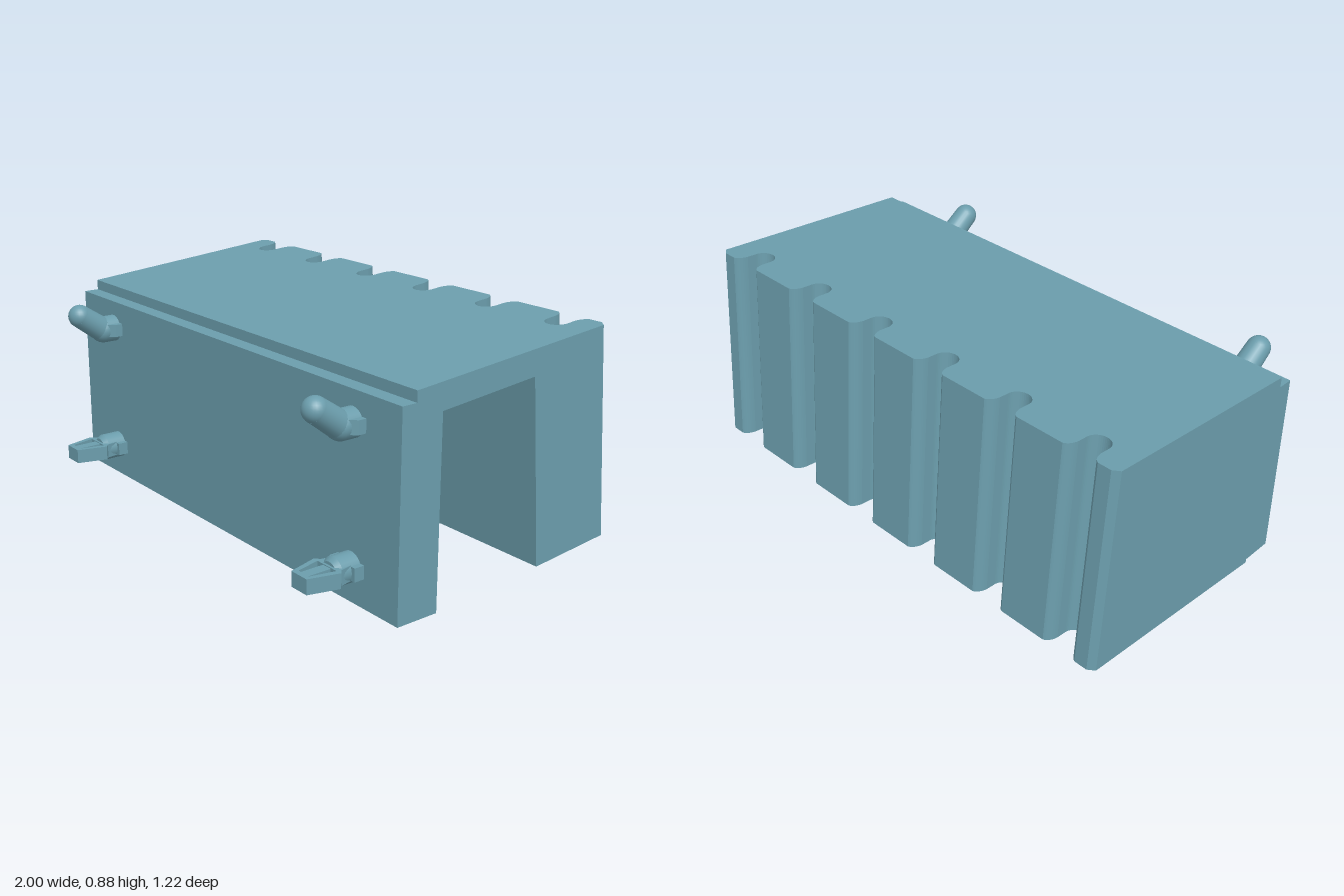
import * as THREE from 'three';

const material = new THREE.MeshStandardMaterial({ color: 0x6b9dac });
const TILT = THREE.MathUtils.degToRad(5);
// lower inner corner of the back slab (z, y) and slab size
const BZ = -0.25, BY = 0.047, SLAB_H = 0.8, SLAB_T = 0.36;

function mesh(name, geometry) {
  const m = new THREE.Mesh(geometry, material);
  m.name = name;
  return m;
}

// Extrude a side profile given as [z, y] points from x0 to x1
function sideExtrude(points, x0, x1) {
  const shape = new THREE.Shape(points.map(([z, y]) => new THREE.Vector2(-z, y)));
  return new THREE.ExtrudeGeometry(shape, { depth: x1 - x0, bevelEnabled: false })
    .rotateY(Math.PI / 2).translate(x0, 0, 0);
}

// Point on the inner plane of the tilted slab at height h along it
const onSlab = h => [BZ + h * Math.sin(TILT), BY + h * Math.cos(TILT)];

// Cylinder running along z
const rodZ = (r0, r1, z0, z1) => new THREE.CylinderGeometry(r1, r0, z1 - z0, 24)
  .rotateX(Math.PI / 2).translate(0, 0, (z0 + z1) / 2);

// Back slab: plan outline with rounded grooves, extruded along the tilt
function groovedSlab() {
  const s = new THREE.Shape();
  const T = SLAB_T, r = 0.045, mouth = 0.072, bottom = T - 0.085;
  s.moveTo(-1, 0);
  s.lineTo(1, 0);
  s.lineTo(1, T - 0.02);
  s.lineTo(0.975, T);
  for (let i = 0; i < 6; i++) {
    const x = 0.85 - i * 0.34;
    s.lineTo(x + mouth, T);
    s.quadraticCurveTo(x + r + 0.005, T - 0.01, x + r, T - 0.045);
    s.lineTo(x + r, bottom);
    s.absarc(x, bottom, r, 0, -Math.PI, true);
    s.lineTo(x - r, T - 0.045);
    s.quadraticCurveTo(x - r - 0.005, T - 0.01, x - mouth, T);
  }
  s.lineTo(-0.975, T);
  s.lineTo(-1, T - 0.02);
  s.closePath();
  const g = new THREE.ExtrudeGeometry(s, { depth: SLAB_H, bevelEnabled: false, curveSegments: 10 });
  return g.rotateX(-Math.PI / 2 + TILT).translate(0, BY, BZ);
}

// Upper peg: short stem, bent arm with round tip, and side barbs
function hookPeg() {
  const g = new THREE.Group();
  g.name = 'hookPeg';
  g.add(mesh('hookStem', rodZ(0.053, 0.053, 0.39, 0.445)));
  const elbow = new THREE.Vector3(0, 0, 0.45), tip = new THREE.Vector3(0, 0.07, 0.548);
  const arm = new THREE.CylinderGeometry(0.046, 0.05, elbow.distanceTo(tip), 24);
  arm.applyQuaternion(new THREE.Quaternion().setFromUnitVectors(
    new THREE.Vector3(0, 1, 0), tip.clone().sub(elbow).normalize()));
  arm.translate(0, 0.035, 0.499);
  g.add(mesh('hookArm', arm));
  g.add(mesh('hookElbow', new THREE.SphereGeometry(0.053, 24, 16).translate(0, 0, 0.447)));
  g.add(mesh('hookTip', new THREE.SphereGeometry(0.046, 24, 16).translate(0, tip.y, tip.z)));
  const barb = new THREE.Shape([[-0.067, 0.39], [0.067, 0.39], [0.067, 0.425], [0.045, 0.45],
    [-0.045, 0.45], [-0.067, 0.425]].map(p => new THREE.Vector2(...p)));
  g.add(mesh('hookBarbs', new THREE.ExtrudeGeometry(barb, { depth: 0.05, bevelEnabled: false })
    .rotateX(Math.PI / 2).translate(0, 0.028, 0)));
  return g;
}

// Lower peg: short stem with a pointed, hollow snap clip
function clipPeg() {
  const g = new THREE.Group();
  g.name = 'clipPeg';
  g.add(mesh('clipStem', rodZ(0.053, 0.053, 0.39, 0.47)));
  g.add(mesh('clipStemEnd', rodZ(0.053, 0.04, 0.47, 0.488)));
  g.add(mesh('clipCollar', new THREE.BoxGeometry(0.134, 0.05, 0.045).translate(0, 0, 0.4125)));
  const v = p => new THREE.Vector2(...p);
  const clip = new THREE.Shape([[-0.045, 0.43], [0.045, 0.43], [0.055, 0.48], [0.072, 0.495],
    [0.04, 0.612], [-0.04, 0.612], [-0.072, 0.495], [-0.055, 0.48]].map(v));
  clip.holes.push(new THREE.Path([[-0.05, 0.497], [-0.028, 0.592], [0.028, 0.592], [0.05, 0.497]].map(v)));
  g.add(mesh('snapClip', new THREE.ExtrudeGeometry(clip, { depth: 0.056, bevelEnabled: false })
    .rotateX(Math.PI / 2).translate(0, 0.028, 0)));
  g.add(mesh('clipCore', new THREE.BoxGeometry(0.04, 0.05, 0.12).translate(0, 0, 0.54)));
  return g;
}

export function createModel() {
  const model = new THREE.Group();
  model.name = 'groovedHolder';

  // Front plate and sloping top in one profile
  model.add(mesh('frontAndTop', sideExtrude([
    [0.395, 0.015], [0.395, 0.76], [0.335, 0.76], [0.335, 0.8],
    onSlab(SLAB_H), onSlab(0.705), [0.225, 0.712], [0.225, 0.015],
  ], -1, 1)));

  // End wall closing one side of the channel
  model.add(mesh('endWall', sideExtrude([
    [0.27, 0.0], [0.27, 0.015], [0.225, 0.015], [0.225, 0.712], onSlab(0.705), onSlab(0),
  ], -1, -0.94)));

  model.add(mesh('groovedBack', groovedSlab()));

  // Mounting pegs
  for (const x of [-0.765, 0.765]) {
    const hook = hookPeg(), clip = clipPeg();
    hook.position.set(x, 0.65, 0);
    clip.position.set(x, 0.147, 0);
    model.add(hook, clip);
  }
  return model;
}
